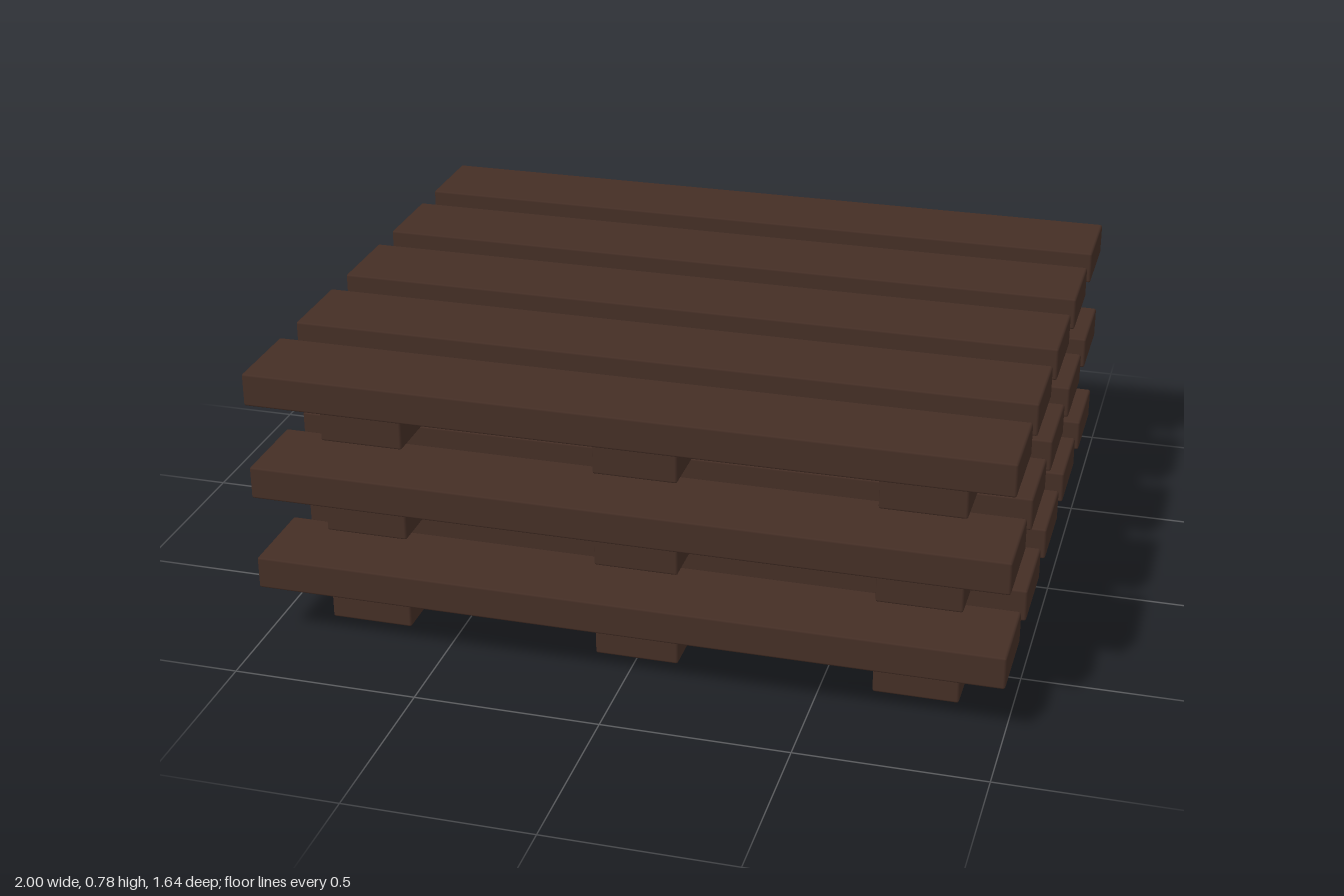
import * as THREE from 'three';
import { RoundedBoxGeometry } from 'three/addons/geometries/RoundedBoxGeometry.js';

export function createModel() {
  const model = new THREE.Group();
  model.name = 'palletStack';

  const darkWood = new THREE.MeshStandardMaterial({ color: 0x442e25 });
  darkWood.name = 'darkWood';

  // Timbers with slightly eased edges
  const runnerGeometry = new RoundedBoxGeometry(0.227, 0.148, 1.33, 1, 0.006);
  const plankGeometry = new RoundedBoxGeometry(2, 0.09, 0.245, 1, 0.006);

  const addTimber = (parent, name, geometry, x, y, z) => {
    const mesh = new THREE.Mesh(geometry, darkWood);
    mesh.name = name;
    mesh.position.set(x, y, z);
    parent.add(mesh);
  };

  // Three stacked pallets: three runners below five deck planks
  for (let level = 0; level < 3; level++) {
    const pallet = new THREE.Group();
    pallet.name = `pallet${level + 1}`;
    pallet.position.y = level * 0.267;
    for (let i = -1; i <= 1; i++) {
      addTimber(pallet, `runner${i + 2}`, runnerGeometry, i * 0.75, 0.075, 0);
    }
    for (let i = -2; i <= 2; i++) {
      addTimber(pallet, `deckPlank${i + 3}`, plankGeometry, 0, 0.202, i * 0.35);
    }
    model.add(pallet);
  }

  return model;
}
